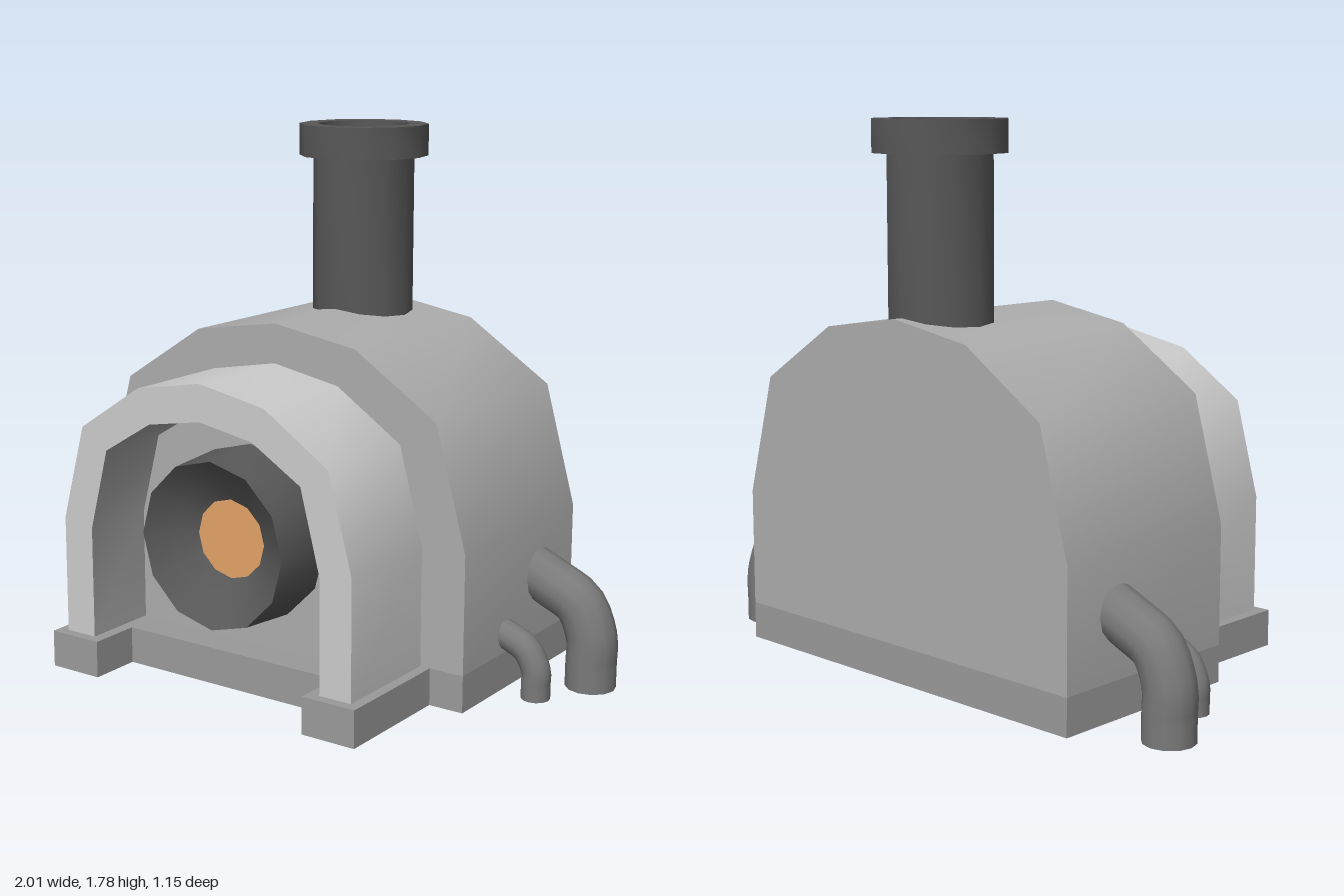
import * as THREE from 'three';
import { toCreasedNormals } from 'three/addons/utils/BufferGeometryUtils.js';

const V = (x, y, z) => new THREE.Vector3(x, y, z);
const paint = (color) => new THREE.MeshStandardMaterial({ color, side: THREE.DoubleSide });

// Strip of quads joining two rows with the same number of points
function loft(a, b) {
  const pos = [];
  for (let i = 0; i < a.length - 1; i++) {
    for (const p of [a[i], a[i + 1], b[i + 1], a[i], b[i + 1], b[i]]) pos.push(p.x, p.y, p.z);
  }
  const g = new THREE.BufferGeometry();
  g.setAttribute('position', new THREE.Float32BufferAttribute(pos, 3));
  g.computeVertexNormals();
  return toCreasedNormals(g, 0.8);
}

// Mirror a right half profile, listed from the bottom up to the centre
const mirrored = (half) => [...half, ...half.slice(0, -1).reverse().map(([x, y]) => [-x, y])];
const at = (profile, z) => profile.map(([x, y]) => V(x, y, z));
const shapeOf = (pts) => new THREE.Shape(pts.map(([x, y]) => new THREE.Vector2(x, y)));

export function createModel() {
  const model = new THREE.Group();
  const stone = paint(0xadadad), archGrey = paint(0xcccccc), baseGrey = paint(0x9a9a9a);
  const iron = paint(0x585858), pipeGrey = paint(0x7a7a7a), glow = paint(0xe2a366);

  const add = (name, geometry, material, x = 0, y = 0, z = 0) => {
    const mesh = new THREE.Mesh(geometry, material);
    mesh.name = name;
    mesh.position.set(x, y, z);
    model.add(mesh);
    return mesh;
  };

  const back = -0.56, front = 0.15, archFront = 0.54, recess = 0.28, baseTop = 0.14;
  const body = mirrored([[0.72, baseTop], [0.72, 0.53], [0.61, 0.93], [0.31, 1.125], [0, 1.175]]);
  const outer = mirrored([[0.565, baseTop], [0.565, 0.53], [0.48, 0.845], [0.245, 1.0], [0, 1.045]]);
  const inner = mirrored([[0.45, baseTop], [0.45, 0.51], [0.38, 0.78], [0.2, 0.89], [0, 0.925]]);

  // Hollow vaulted body
  add('bodyShell', loft(at(body, front), at(body, back)), stone);
  add('bodyFront', loft(at(outer, front), at(body, front)), stone);
  const rear = new THREE.ShapeGeometry(shapeOf(body));
  rear.rotateY(Math.PI);
  add('bodyBack', rear, stone, 0, 0, back);

  // Front arch with its recess
  add('archShell', loft(at(outer, archFront), at(outer, front)), archGrey);
  add('archFace', loft(at(inner, archFront), at(outer, archFront)), archGrey);
  add('archInside', loft(at(inner, recess), at(inner, archFront)), stone);

  // Recess wall, pierced for the burner
  const lampY = 0.515;
  const wall = shapeOf(inner);
  const hole = [];
  for (let i = 0; i < 12; i++) {
    const a = -i * Math.PI / 6;
    hole.push(new THREE.Vector2(0.29 * Math.cos(a), lampY + 0.29 * Math.sin(a)));
  }
  wall.holes.push(new THREE.Path(hole));
  add('recessWall', new THREE.ShapeGeometry(wall), stone, 0, 0, recess);

  // Base band with two front feet, open underneath
  const plan = [[0.72, back], [0.72, front], [0.6, front], [0.6, 0.575], [0.41, 0.575], [0.41, 0.4]];
  const outline = [...plan, ...plan.slice().reverse().map(([x, z]) => [-x, z]), plan[0]];
  const level = (y) => outline.map(([x, z]) => V(x, y, z));
  add('baseBand', loft(level(baseTop), level(0.018)), baseGrey);
  const ledge = [...outline.slice(2, 10), [-0.565, front], [-0.565, recess], [0.565, recess], [0.565, front]];
  const ledgeGeometry = new THREE.ShapeGeometry(shapeOf(ledge.map(([x, z]) => [x, -z])));
  ledgeGeometry.rotateX(-Math.PI / 2);
  add('baseLedge', ledgeGeometry, baseGrey, 0, baseTop, 0);

  // Turned parts, twelve-sided
  const turned = (pts) => toCreasedNormals(
    new THREE.LatheGeometry(pts.map(([r, y]) => new THREE.Vector2(r, y)), 12), 0.65);

  // Burner: tapered collar, funnel and glowing centre
  const burner = turned([[0.29, recess], [0.275, 0.49], [0.2, 0.43], [0.13, 0.385]]);
  burner.rotateX(Math.PI / 2);
  add('burner', burner, iron, 0, lampY, 0);
  add('burnerGlow', new THREE.CircleGeometry(0.13, 12), glow, 0, lampY, 0.385);

  // Chimney with an open, thicker rim
  add('chimney', turned([
    [0.17, 1.14], [0.17, 1.675], [0.217, 1.675], [0.217, 1.78], [0.155, 1.78], [0.155, 1.14],
  ]), iron, 0, 0, -0.36);

  // Bent pipes on both sides
  const pipe = (name, pts, r, z) => {
    for (const s of [1, -1]) {
      const curve = new THREE.CatmullRomCurve3(pts.map(([x, y]) => V(s * x, y, z)), false, 'centripetal');
      add(s > 0 ? name + 'Left' : name + 'Right', new THREE.TubeGeometry(curve, 14, r, 12), pipeGrey);
    }
  };
  pipe('largePipe', [[0.69, 0.36], [0.78, 0.32], [0.87, 0.272], [0.917, 0.165], [0.917, 0.08], [0.917, 0]], 0.083, -0.335);
  pipe('smallPipe', [[0.7, 0.21], [0.75, 0.192], [0.8, 0.165], [0.834, 0.1], [0.834, 0.06], [0.834, 0.01]], 0.047, -0.115);

  return model;
}
